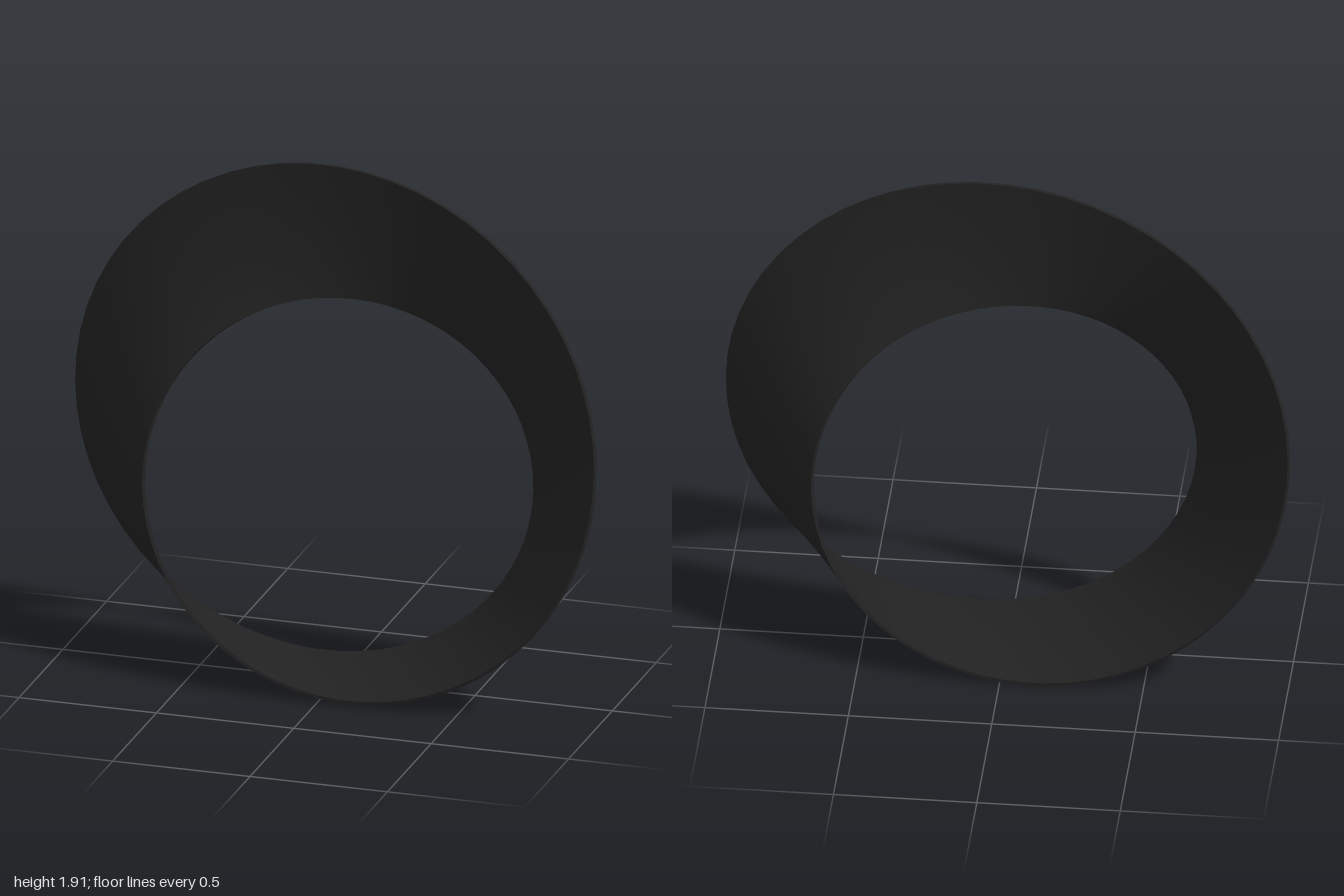
import * as THREE from 'three';

const RADIUS = 0.82, HALF_WIDTH = 0.245, HALF_THICK = 0.006;
const CENTER_Y = 0.84, PHASE = 0.026;
const SEGMENTS = 128; // two laps of 64: a half twist closes only after two laps

// Sweeps a line from (a0, b0) to (a1, b1) in the band's (width, thickness) frame
// twice around the ring, so a single sweep covers both sides.
function twistedSweep([a0, b0], [a1, b1], steps) {
  const pos = [], idx = [], row = steps + 1;
  for (let i = 0; i < SEGMENTS; i++) {
    const t = (i / SEGMENTS) * Math.PI * 4;
    const twist = t / 2 + PHASE;
    const c = Math.cos(twist), s = Math.sin(twist);
    const next = (i + 1) % SEGMENTS;
    for (let j = 0; j <= steps; j++) {
      const a = THREE.MathUtils.lerp(a0, a1, j / steps);
      const b = THREE.MathUtils.lerp(b0, b1, j / steps);
      const r = RADIUS + a * c - b * s;
      pos.push(r * Math.sin(t), CENTER_Y + r * Math.cos(t), a * s + b * c);
      if (j < steps) {
        const p = i * row + j, q = next * row + j;
        idx.push(p, q, q + 1, p, q + 1, p + 1);
      }
    }
  }
  const geo = new THREE.BufferGeometry();
  geo.setAttribute('position', new THREE.Float32BufferAttribute(pos, 3));
  geo.setIndex(idx);
  geo.computeVertexNormals();
  return geo;
}

export function createModel() {
  const group = new THREE.Group();
  group.name = 'twistedRing';
  const black = new THREE.MeshStandardMaterial({ color: 0x222222 });
  black.name = 'charcoalBlack';

  // Broad surface of the band
  const band = new THREE.Mesh(
    twistedSweep([-HALF_WIDTH, HALF_THICK], [HALF_WIDTH, HALF_THICK], 16), black);
  band.name = 'bandSurface';

  // Thin rim closing the band's edge
  const rim = new THREE.Mesh(
    twistedSweep([HALF_WIDTH, HALF_THICK], [HALF_WIDTH, -HALF_THICK], 1), black);
  rim.name = 'bandRim';

  group.add(band, rim);
  return group;
}
